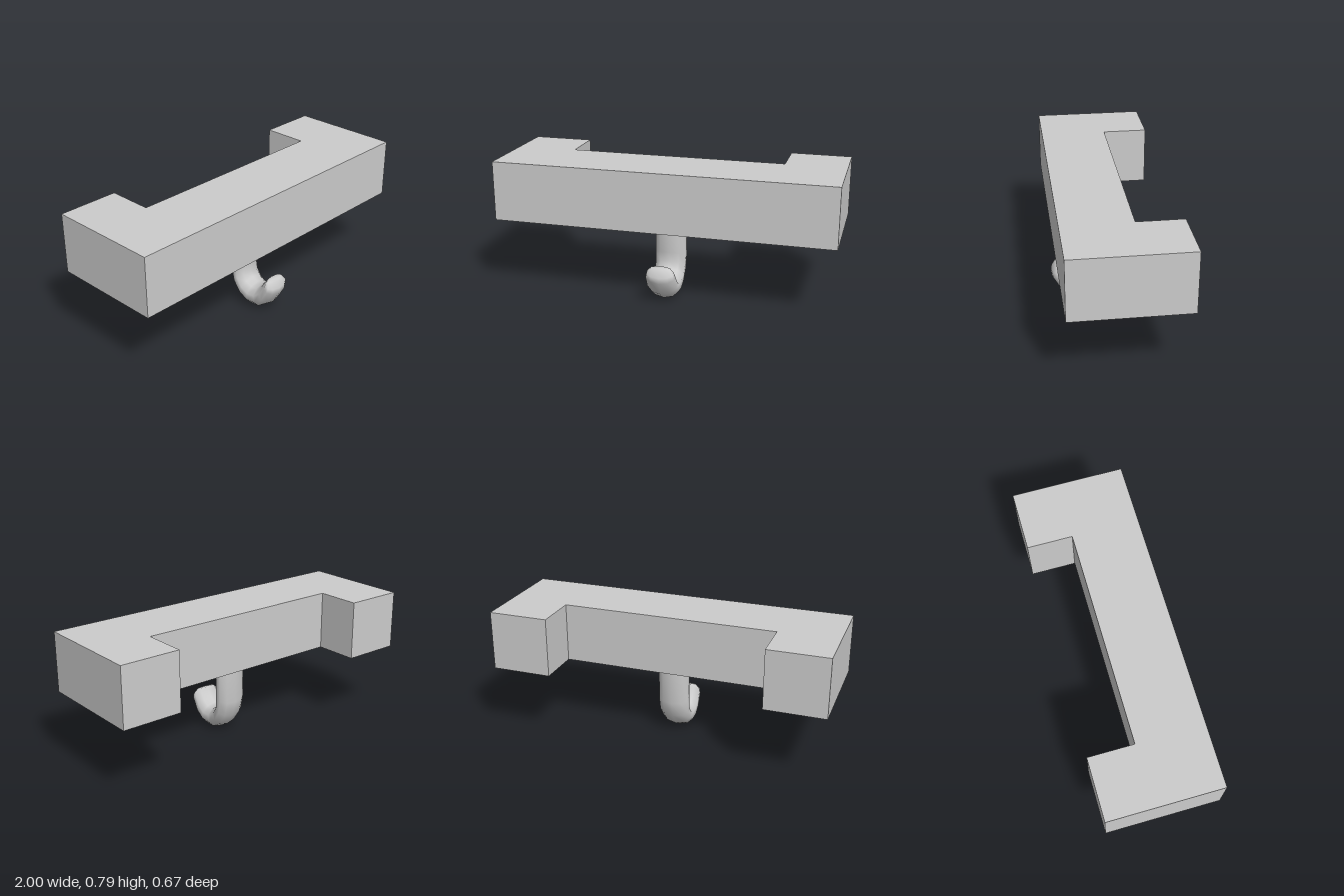
import * as THREE from 'three';

const material = new THREE.MeshStandardMaterial({ color: 0xcccccc });

// U-shaped block: outline drawn from above (shape y = -z), extruded upward
function makeBracket() {
  const outline = [
    [-1, -0.328], [1, -0.328], [1, 0.337], [0.643, 0.337],
    [0.643, 0.07], [-0.643, 0.07], [-0.643, 0.337], [-1, 0.337],
  ];
  const shape = new THREE.Shape(outline.map(([x, y]) => new THREE.Vector2(x, y)));
  const geometry = new THREE.ExtrudeGeometry(shape, { depth: 0.353, bevelEnabled: false });
  geometry.rotateX(-Math.PI / 2).translate(0, 0.437, 0);
  const mesh = new THREE.Mesh(geometry, material);
  mesh.name = 'bracket';
  return mesh;
}

// Hook: ten-sided oval rings, each [outer z, outer y, inner z, inner y, half width]
function makeHook() {
  const rings = [
    [-0.005, 0.445, 0.11, 0.445, 0.096],
    [-0.004, 0.21, 0.108, 0.25, 0.096],
    [0.023, 0.115, 0.102, 0.195, 0.095],
    [0.077, 0.04, 0.125, 0.16, 0.094],
    [0.145, 0.002, 0.16, 0.14, 0.093],
    [0.22, 0.006, 0.2, 0.143, 0.093],
    [0.285, 0.052, 0.232, 0.167, 0.092],
    [0.333, 0.135, 0.26, 0.207, 0.089],
    [0.336, 0.17, 0.266, 0.217, 0.083],
    [0.313, 0.215, 0.272, 0.223, 0.06],
  ];
  const sides = 10;
  const positions = [];
  const index = [];
  rings.forEach(([oz, oy, iz, iy, half], r) => {
    for (let s = 0; s < sides; s++) {
      const angle = (s / sides) * Math.PI * 2;
      const c = Math.cos(angle) / 2;
      positions.push(
        Math.sin(angle) * half,
        (oy + iy) / 2 + (oy - iy) * c,
        (oz + iz) / 2 + (oz - iz) * c,
      );
      if (r < rings.length - 1) {
        const a = r * sides + s;
        const b = r * sides + ((s + 1) % sides);
        index.push(a, b, a + sides, b, b + sides, a + sides);
      }
    }
  });

  // Closed tip
  const [oz, oy, iz, iy] = rings[rings.length - 1];
  const start = (rings.length - 1) * sides;
  const centre = rings.length * sides;
  positions.push(0, (oy + iy) / 2, (oz + iz) / 2);
  for (let s = 0; s < sides; s++) index.push(centre, start + s, start + ((s + 1) % sides));

  const geometry = new THREE.BufferGeometry();
  geometry.setAttribute('position', new THREE.Float32BufferAttribute(positions, 3));
  geometry.setIndex(index);
  geometry.computeVertexNormals();
  const mesh = new THREE.Mesh(geometry, material);
  mesh.name = 'hook';
  return mesh;
}

export function createModel() {
  const group = new THREE.Group();
  group.name = 'wallHook';
  group.add(makeBracket(), makeHook());
  return group;
}
